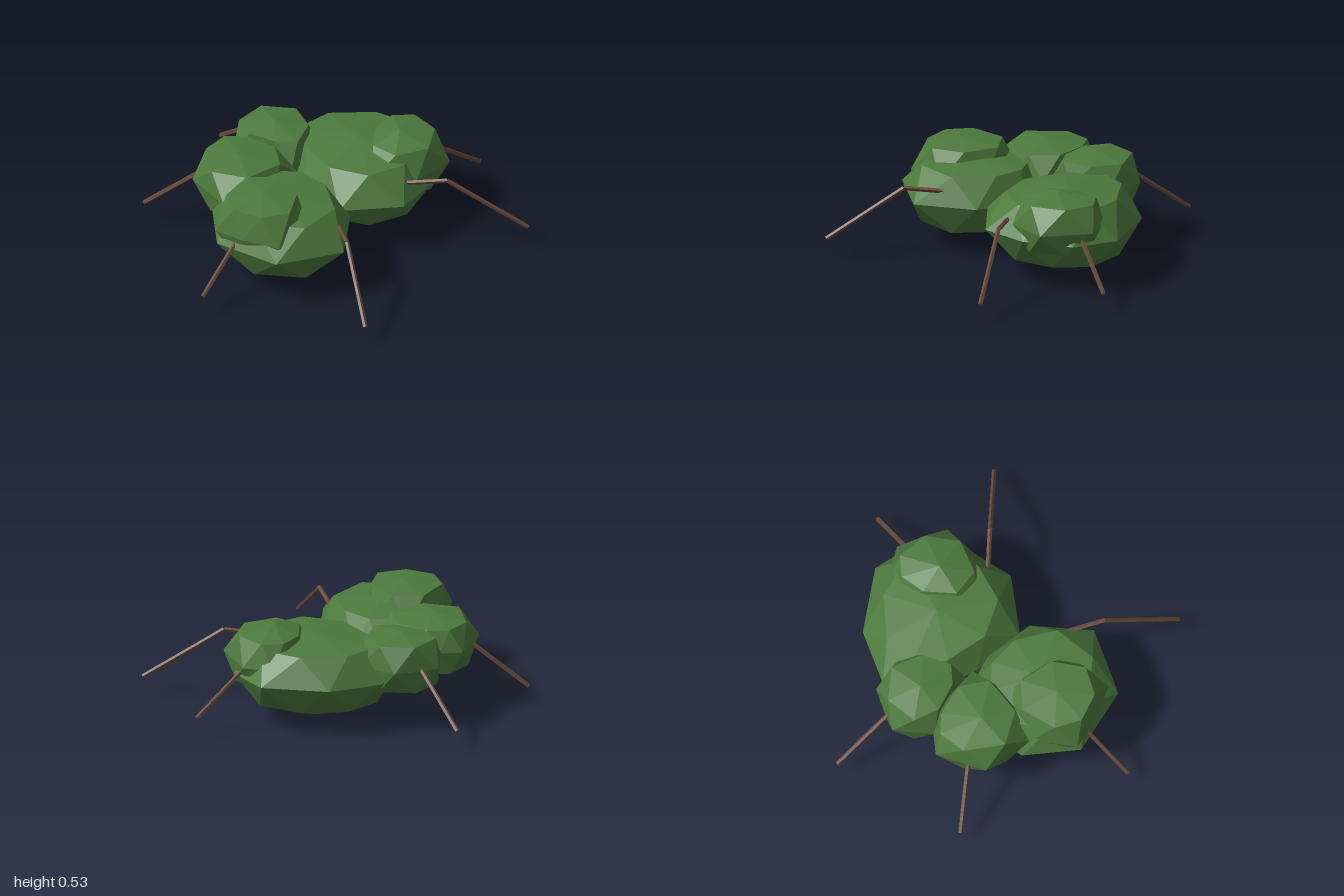
import * as THREE from 'three';

const leaf = new THREE.MeshStandardMaterial({ color: 0x4d7a3d, flatShading: true });
leaf.name = 'leaf green';
const bark = new THREE.MeshStandardMaterial({ color: 0x6a4a3a, flatShading: true });
bark.name = 'bark brown';

// Leaf clumps: centre, widest outline as [x, z] corners from +x towards +z,
// then each half as [ring scale, ring height, tip height] above and below the centre
const clumps = [
  { name: 'leftLeafMass', at: [0.33, 0.29, 0], top: [0.78, 0.155, 0.19], bottom: [0.82, -0.16, -0.285],
    outline: [[0.78, 0.03], [0.7, 0.28], [0.45, 0.43], [0.18, 0.46], [-0.08, 0.22],
      [-0.02, -0.08], [0.1, -0.38], [0.33, -0.46], [0.6, -0.3]] },
  { name: 'rightLeafMass', at: [-0.34, 0.29, 0.06], top: [0.8, 0.15, 0.18], bottom: [0.82, -0.17, -0.26],
    outline: [[-0.01, 0.02], [-0.08, 0.3], [-0.37, 0.5], [-0.7, 0.3], [-0.75, -0.08],
      [-0.52, -0.31], [-0.25, -0.33], [-0.05, -0.14]] },
  { name: 'backRightClump', at: [-0.26, 0.36, -0.34], top: [0.88, 0.12, 0.15], bottom: [0.92, -0.13, -0.16],
    outline: [[-0.01, -0.4], [-0.02, -0.12], [-0.26, -0.1], [-0.52, -0.23], [-0.44, -0.52],
      [-0.17, -0.62], [-0.08, -0.53]] },
  { name: 'backLeftClump', at: [0.11, 0.36, -0.41], top: [0.9, 0.13, 0.16], bottom: [0.95, -0.13, -0.14],
    outline: [[0.33, -0.3], [0.14, -0.18], [-0.02, -0.17], [-0.04, -0.37], [-0.09, -0.53],
      [0.1, -0.66], [0.32, -0.53]] },
  { name: 'frontLeftClump', at: [0.46, 0.36, 0.19], top: [0.85, 0.13, 0.175], bottom: [0.92, -0.13, -0.15],
    outline: [[0.75, 0.18], [0.6, 0.43], [0.35, 0.41], [0.2, 0.22], [0.34, 0.04],
      [0.55, -0.03], [0.68, 0.02]] },
  { name: 'frontRightClump', at: [-0.49, 0.36, 0.03], top: [0.85, 0.15, 0.17], bottom: [0.9, -0.12, -0.14],
    outline: [[-0.26, 0.07], [-0.4, 0.28], [-0.65, 0.28], [-0.72, 0.07], [-0.74, -0.1],
      [-0.52, -0.23], [-0.26, -0.17]] },
];

// Faceted lump: a wide middle ring, a half-turned ring above and below, and two tips
function makeClump({ name, at, outline, top, bottom }) {
  const n = outline.length;
  const middle = outline.map(([x, z]) => [x - at[0], 0, z - at[2]]);
  const ring = ([scale, y]) => middle.map((a, i) => {
    const b = middle[(i + 1) % n];
    return [(a[0] + b[0]) / 2 * scale, y, (a[2] + b[2]) / 2 * scale];
  });
  const upper = ring(top), lower = ring(bottom);
  const crown = [0, top[2], 0], base = [0, bottom[2], 0];
  const corners = [];
  for (let i = 0; i < n; i++) {
    const j = (i + 1) % n;
    corners.push(
      middle[i], upper[i], middle[j], upper[i], upper[j], middle[j],
      upper[i], crown, upper[j],
      middle[i], middle[j], lower[i], lower[i], middle[j], lower[j],
      lower[i], lower[j], base,
    );
  }
  const geo = new THREE.BufferGeometry();
  geo.setAttribute('position', new THREE.Float32BufferAttribute(corners.flat(), 3));
  geo.computeVertexNormals();
  const mesh = new THREE.Mesh(geo, leaf);
  mesh.name = name;
  mesh.position.set(...at);
  return mesh;
}

// Straight piece of a branch between two points
function makeRod(a, b) {
  const dir = b.clone().sub(a);
  const rod = new THREE.Mesh(new THREE.CylinderGeometry(0.013, 0.013, dir.length(), 5), bark);
  rod.name = 'branchPiece';
  rod.position.copy(a).add(b).multiplyScalar(0.5);
  rod.quaternion.setFromUnitVectors(new THREE.Vector3(0, 1, 0), dir.normalize());
  return rod;
}

// Branch rising from the middle, bending twice and drooping to its tip
function makeBranch(name, x, z) {
  const branch = new THREE.Group();
  branch.name = name;
  const points = [[0.02, 0.11], [0.27, 0.345], [0.615, 0.39], [1, 0.11]]
    .map(([f, y]) => new THREE.Vector3(x * f, y, z * f));
  for (let i = 0; i < 3; i++) branch.add(makeRod(points[i], points[i + 1]));
  return branch;
}

export function createModel() {
  const model = new THREE.Group();
  model.name = 'bush';
  for (const clump of clumps) model.add(makeClump(clump));
  const tips = {
    frontLeftBranch: [0.675, 0.925],
    frontRightBranch: [-0.645, 0.89],
    leftBranch: [0.99, 0.31],
    rightBranch: [-0.99, 0.025],
    backLeftBranch: [0.27, -0.925],
    backRightBranch: [-0.5, -0.815],
  };
  for (const [name, [x, z]] of Object.entries(tips)) model.add(makeBranch(name, x, z));
  return model;
}
